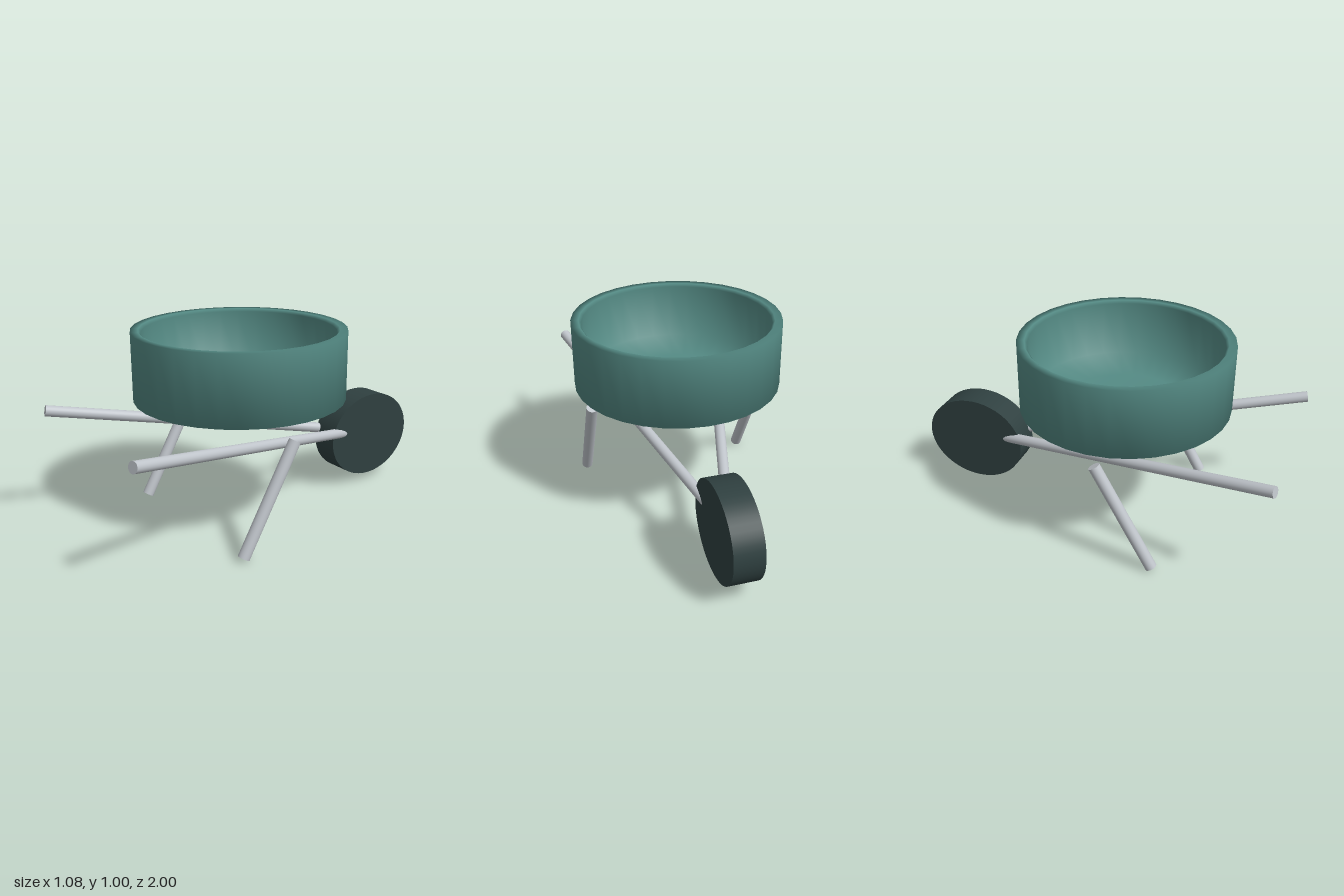
import * as THREE from 'three';

const tubGreen = new THREE.MeshStandardMaterial({ color: 0x548a84 });
const metalGrey = new THREE.MeshStandardMaterial({ color: 0xbfc4ca });
const wheelDark = new THREE.MeshStandardMaterial({ color: 0x2f4040 });

// round bar between two points
function bar(name, from, to, radius) {
  const a = new THREE.Vector3(...from);
  const b = new THREE.Vector3(...to);
  const dir = b.clone().sub(a);
  const mesh = new THREE.Mesh(new THREE.CylinderGeometry(radius, radius, dir.length(), 24), metalGrey);
  mesh.name = name;
  mesh.position.copy(a).add(b).multiplyScalar(0.5);
  mesh.quaternion.setFromUnitVectors(new THREE.Vector3(0, 1, 0), dir.normalize());
  return mesh;
}

export function createModel() {
  const model = new THREE.Group();
  model.name = 'wheelbarrow';

  // hollow round tub: underside, outer wall, rim, inner wall, floor
  const profile = [
    [0, 0.61], [0.325, 0.61], [0.54, 0.65], [0.54, 1],
    [0.5, 1], [0.487, 0.985], [0.487, 0.69], [0.3, 0.65], [0, 0.65],
  ].map(([r, y]) => new THREE.Vector2(r, y));
  const tub = new THREE.Mesh(new THREE.LatheGeometry(profile, 32), tubGreen);
  tub.name = 'tub';
  tub.position.z = 0.137;
  model.add(tub);

  // slightly flattened wheel
  const wheel = new THREE.Mesh(
    new THREE.CylinderGeometry(0.28, 0.28, 0.152, 48).rotateZ(Math.PI / 2),
    wheelDark
  );
  wheel.name = 'wheel';
  wheel.scale.y = 0.847;
  wheel.position.set(0, 0.278, -0.72);
  model.add(wheel);

  // handles meet at the hub; legs slope forward to the ground
  for (const [side, s] of [['left', 1], ['right', -1]]) {
    model.add(bar(side + 'Handle', [s * 0.463, 0.608, 0.993], [0, 0.28, -0.72], 0.028));
    model.add(bar(side + 'Leg', [s * 0.462, 0.015, 0.444], [s * 0.462, 0.54, 0.144], 0.03));
  }
  return model;
}
